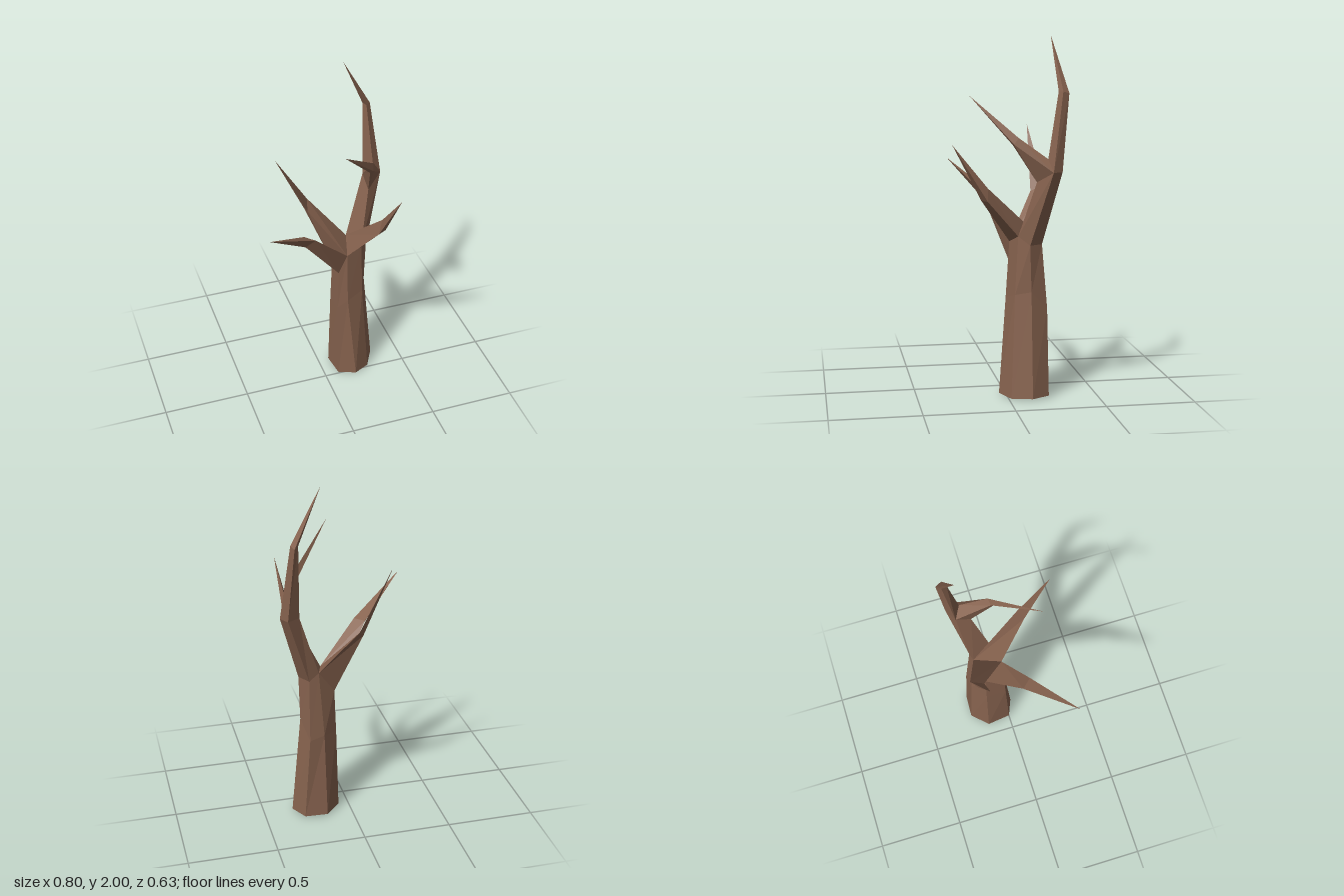
import * as THREE from 'three';

// Flat-sided skin through rings of equal corner count; a one-point ring is a tip.
function loft(rings, capStart = false) {
  const out = [];
  const tri = (a, b, c) => out.push(...a, ...b, ...c);
  for (let k = 0; k < rings.length - 1; k++) {
    const lo = rings[k], hi = rings[k + 1], n = lo.length;
    for (let i = 0; i < n; i++) {
      const j = (i + 1) % n;
      if (hi.length === 1) tri(lo[i], lo[j], hi[0]);
      else {
        tri(lo[i], lo[j], hi[j]);
        tri(lo[i], hi[j], hi[i]);
      }
    }
  }
  if (capStart) {
    const r = rings[0];
    for (let i = 1; i < r.length - 1; i++) tri(r[0], r[i + 1], r[i]);
  }
  const g = new THREE.BufferGeometry();
  g.setAttribute('position', new THREE.Float32BufferAttribute(out, 3));
  g.computeVertexNormals();
  return g;
}

export function createModel() {
  const bark = new THREE.MeshStandardMaterial({ color: 0x86624e });
  bark.name = 'bark';
  bark.flatShading = true;
  const tree = new THREE.Group();
  tree.name = 'bareTree';
  const add = (name, rings, cap) => {
    const m = new THREE.Mesh(loft(rings, cap), bark);
    m.name = name;
    tree.add(m);
  };

  // Trunk rings, running from the front round by the left side
  const base = [[0.18, 0.01, 0.04], [0.275, 0, -0.015], [0.335, 0.01, -0.125], [0.28, 0.01, -0.225],
    [0.15, 0.01, -0.232], [0.062, 0.01, -0.14], [0.08, 0.01, 0]];
  const middle = [[0.138, 0.55, -0.005], [0.24, 0.58, -0.04], [0.28, 0.6, -0.125], [0.245, 0.5, -0.22],
    [0.16, 0.52, -0.21], [0.075, 0.5, -0.14], [0.078, 0.5, -0.02]];
  const top = [[0.138, 0.865, -0.025], [0.235, 0.905, -0.058], [0.285, 0.86, -0.116], [0.24, 0.86, -0.19],
    [0.183, 0.9, -0.18], [0.085, 0.76, -0.14], [0.088, 0.75, -0.03]];
  add('trunk', [base, middle, top], true);

  // Limbs share the corners of the trunk top, so the crown is closed
  const from = (...ids) => ids.map((i) => top[i]);
  add('rightBranch', [from(5, 6, 0),
    [[-0.135, 1.095, 0.02], [-0.143, 1.06, 0.07], [-0.085, 1.095, 0.074]],
    [[-0.4, 1.285, 0.257]]]);
  add('backBranch', [from(4, 5, 0),
    [[-0.03, 1.155, -0.255], [-0.06, 1.12, -0.22], [-0.05, 1.12, -0.18]],
    [[-0.232, 1.49, -0.192]]]);
  add('frontBranch', [from(0, 1, 4),
    [[0.26, 1.11, 0.15], [0.311, 1.11, 0.122], [0.29, 1.18, 0.118]],
    [[0.322, 1.42, 0.315]]]);

  // Main limb and its fork
  const a = [0.305, 1.21, -0.148], b = [0.403, 1.27, -0.22], c = [0.37, 1.27, -0.275],
    d = [0.3, 1.27, -0.235], crotch = [0.35, 1.34, -0.2];
  add('mainLimb', [from(1, 2, 3, 4), [a, b, c, d]]);
  add('tallBranch', [[b, c, d, crotch],
    [[0.352, 1.7, -0.28], [0.337, 1.69, -0.316], [0.312, 1.7, -0.29], [0.325, 1.7, -0.26]],
    [[0.18, 2, -0.245]]]);
  add('innerBranch', [[a, b, crotch, d],
    [[0.265, 1.41, -0.022], [0.287, 1.415, -0.025], [0.295, 1.45, -0.05], [0.262, 1.425, -0.042]],
    [[0.047, 1.667, 0.183]]]);
  return tree;
}
